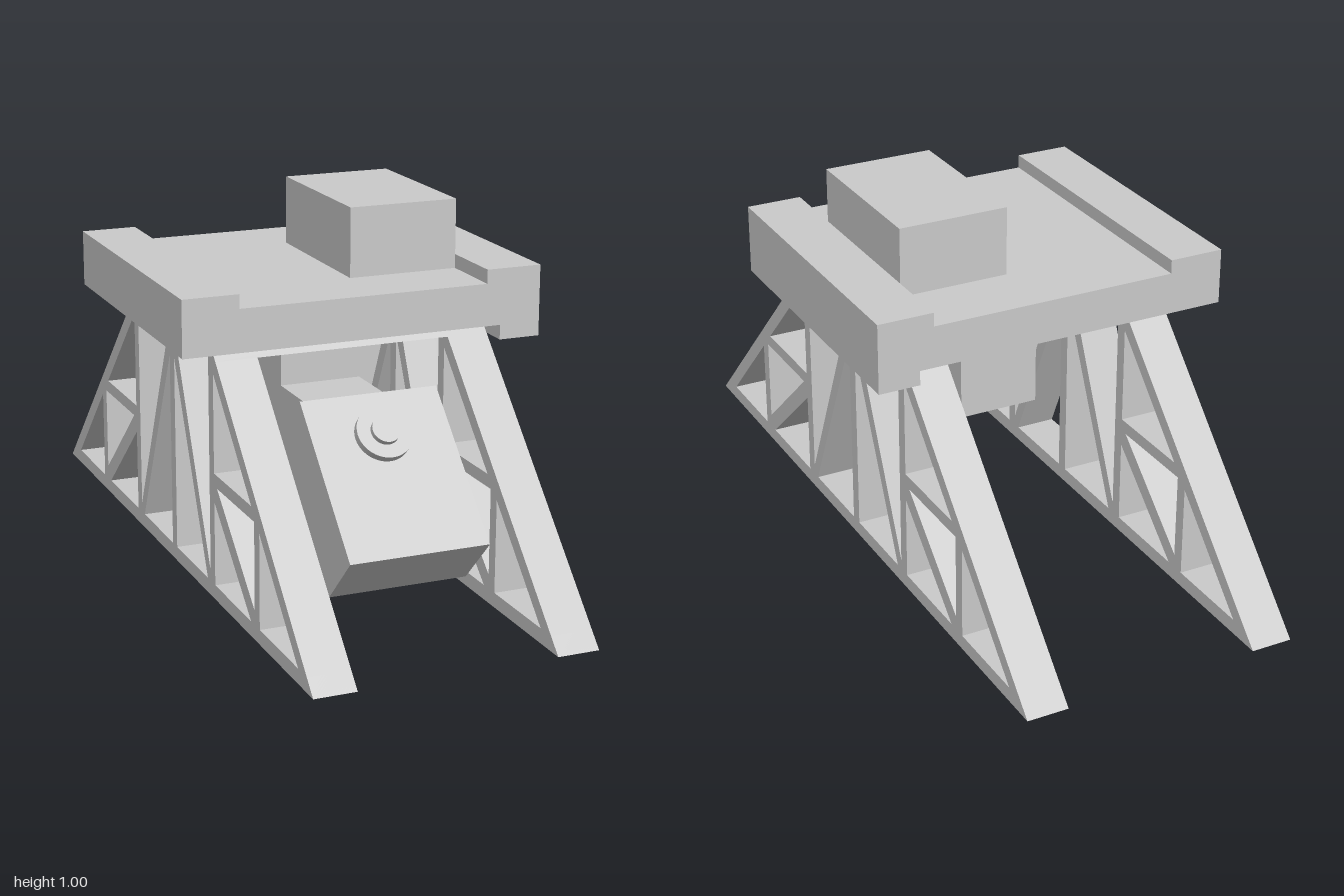
import * as THREE from 'three';

const grey = new THREE.MeshStandardMaterial({ color: 0xcccccc });
const pale = new THREE.MeshStandardMaterial({ color: 0xffffff });

function add(parent, name, geometry, material = grey) {
  const mesh = new THREE.Mesh(geometry, material);
  mesh.name = name;
  parent.add(mesh);
  return mesh;
}

function extrude(points, depth) {
  const shape = new THREE.Shape(points.map(([a, b]) => new THREE.Vector2(a, b)));
  return new THREE.ExtrudeGeometry(shape, { depth, bevelEnabled: false });
}

// Solid with a [z, y] side profile, running from x0 to x1
function sideSolid(points, x0, x1) {
  return extrude(points, x1 - x0).rotateY(-Math.PI / 2).translate(x1, 0, 0);
}

// Box given by its limits
function block(x0, x1, y0, y1, z0, z1) {
  return new THREE.BoxGeometry(x1 - x0, y1 - y0, z1 - z0)
    .translate((x0 + x1) / 2, (y0 + y1) / 2, (z0 + z1) / 2);
}

// Truss members of one half, as [z, y] profiles
const members = {
  slopedBeam: [[1, 0], [0.345, 0.655], [0.29, 0.655], [0.945, 0]],
  innerPost: [[0.29, 0.02], [0.325, 0.02], [0.325, 0.655], [0.29, 0.655]],
  outerPost: [[0.615, 0.02], [0.65, 0.02], [0.65, 0.32], [0.615, 0.35]],
  crossBar: [[0.31, 0.315], [0.65, 0.315], [0.615, 0.35], [0.31, 0.35]],
  outerBrace: [[0.31, 0.285], [0.31, 0.325], [0.335, 0.325], [0.63, 0.065], [0.63, 0.035], [0.595, 0.035]],
  innerBrace: [[0, 0.655], [0.025, 0.655], [0.305, 0.035], [0.27, 0.035], [0, 0.62]],
};

function makeTruss(name, x0, x1) {
  const truss = new THREE.Group();
  truss.name = name;
  add(truss, 'bottomRail', sideSolid([[-1, 0], [1, 0], [0.96, 0.04], [-0.96, 0.04]], x0, x1));
  add(truss, 'centrePost', block(x0, x1, 0.02, 0.655, -0.018, 0.018));
  for (const side of [1, -1]) {
    for (const [part, points] of Object.entries(members)) {
      add(truss, part, sideSolid(points.map(([z, y]) => [z * side, y]), x0, x1));
    }
  }
  return truss;
}

export function createModel() {
  const model = new THREE.Group();
  model.name = 'trussPlatform';

  // Two supporting trusses
  model.add(makeTruss('leftTruss', 0.27, 0.385), makeTruss('rightTruss', -0.385, -0.27));

  // Plate joining the trusses, with ends cut along their slope
  add(model, 'topPlate', sideSolid(
    [[0.345, 0.655], [0.305, 0.695], [-0.305, 0.695], [-0.345, 0.655]], -0.385, 0.385));

  // Deck with raised edges and a deeper flange on its left
  add(model, 'deck', extrude([
    [-0.5, 0.695], [0.385, 0.695], [0.385, 0.655], [0.5, 0.655], [0.5, 0.848],
    [0.345, 0.848], [0.345, 0.81], [-0.347, 0.81], [-0.347, 0.848], [-0.5, 0.848],
  ], 0.844).translate(0, 0, -0.422));
  add(model, 'deckBox', block(0.038, 0.345, 0.81, 1, -0.228, 0.228));

  // Hanging column and arm that carry the head
  add(model, 'column', block(-0.115, 0.115, 0.35, 0.655, -0.115, 0.115));
  add(model, 'arm', block(-0.115, 0.115, 0.35, 0.5, 0.11, 0.47));

  // Tilted head
  add(model, 'head', sideSolid(
    [[0.44, 0.555], [0.77, 0.228], [0.637, 0.093], [0.307, 0.42]], -0.192, 0.192));

  // Lens on the sloped face
  const lens = new THREE.Group();
  lens.name = 'lens';
  lens.position.set(0, 0.467, 0.528);
  lens.rotation.x = Math.PI / 4;
  add(lens, 'lensRing', new THREE.CylinderGeometry(0.075, 0.075, 0.03, 48)).position.y = 0.007;
  add(lens, 'lensGlass', new THREE.CylinderGeometry(0.038, 0.038, 0.03, 40), pale).position.y = 0.022;
  model.add(lens);

  return model;
}
